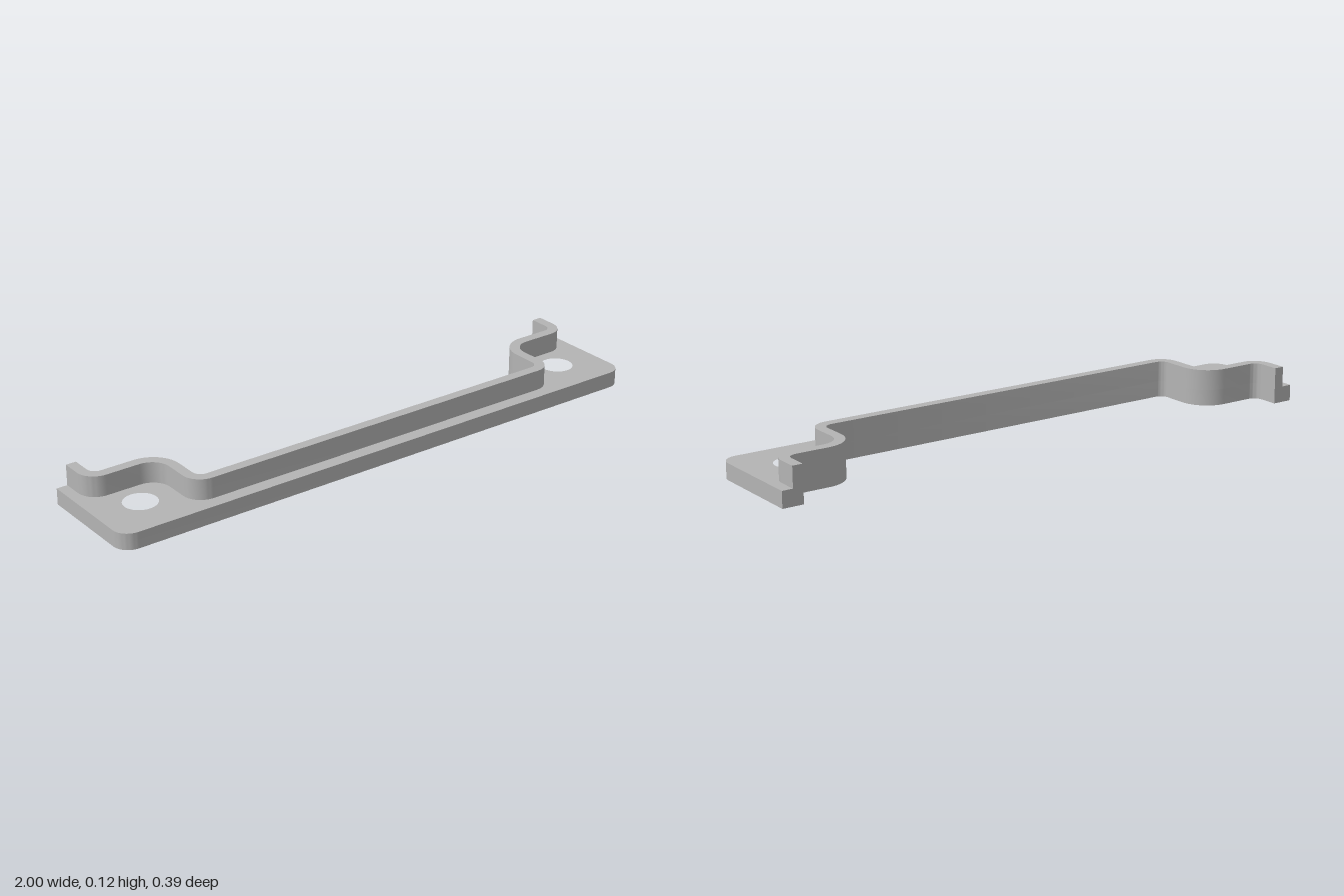
import * as THREE from 'three';
import { toCreasedNormals } from 'three/addons/utils/BufferGeometryUtils.js';

const BASE_H = 0.055, TOP = 0.125, BACK = -0.193, FRONT = 0.193;

// Rounds the right-angled corners of a list of [x, z, radius]
function rounded(corners) {
  const out = [];
  corners.forEach(([x, z, r], i) => {
    const p = new THREE.Vector2(x, -z);
    if (!r) { out.push(p); return; }
    const dir = ([qx, qz]) => new THREE.Vector2(qx, -qz).sub(p).normalize().multiplyScalar(r);
    const a = dir(corners[i - 1]), b = dir(corners[i + 1]);
    const c = p.clone().add(a).add(b);
    for (let k = 0; k <= 12; k++) {
      const t = (k / 12) * Math.PI / 2;
      out.push(c.clone().addScaledVector(b, -Math.cos(t)).addScaledVector(a, -Math.sin(t)));
    }
  });
  return out;
}

// Completes a right-to-centre run with its mirror image
const mirrored = (half) => rounded([...half, ...half.map(([x, z, r]) => [-x, z, r]).reverse()]);

// Extrudes a plan outline upwards from y0 to y1
function slab(name, shape, y0, y1, material) {
  const g = new THREE.ExtrudeGeometry(shape, { depth: y1 - y0, bevelEnabled: false, curveSegments: 40 });
  g.rotateX(-Math.PI / 2).translate(0, y0, 0);
  const mesh = new THREE.Mesh(toCreasedNormals(g, 0.6), material);
  mesh.name = name;
  return mesh;
}

export function createModel() {
  const group = new THREE.Group();
  group.name = 'mountingBracket';
  const grey = new THREE.MeshStandardMaterial({ color: 0xb4b4b4 });
  grey.name = 'grey';

  // Stepped back edge, and the wall's front edge concentric with it
  const backEdge = mirrored([[0.928, BACK, 0], [0.928, -0.097, 0.03], [0.682, -0.097, 0.1], [0.682, 0.112, 0.03]]);
  const wallFront = mirrored([[0.963, BACK, 0], [0.963, -0.062, 0.065], [0.717, -0.062, 0.065], [0.717, 0.147, 0.065]]);

  // Base flange with rounded front corners and two screw holes
  const outer = mirrored([[1, BACK, 0], [1, FRONT, 0.055]]);
  const base = new THREE.Shape([...outer, ...backEdge.slice().reverse()]);
  for (const s of [-1, 1]) {
    const hole = new THREE.Path();
    hole.absarc(s * 0.84, -0.033, 0.056, 0, Math.PI * 2, true);
    base.holes.push(hole);
  }
  group.add(slab('baseFlange', base, 0, BASE_H, grey));

  // Thin upright lip following the back edge
  const wall = new THREE.Shape([...wallFront, ...backEdge.slice().reverse()]);
  group.add(slab('raisedLip', wall, BASE_H, TOP, grey));

  return group;
}
